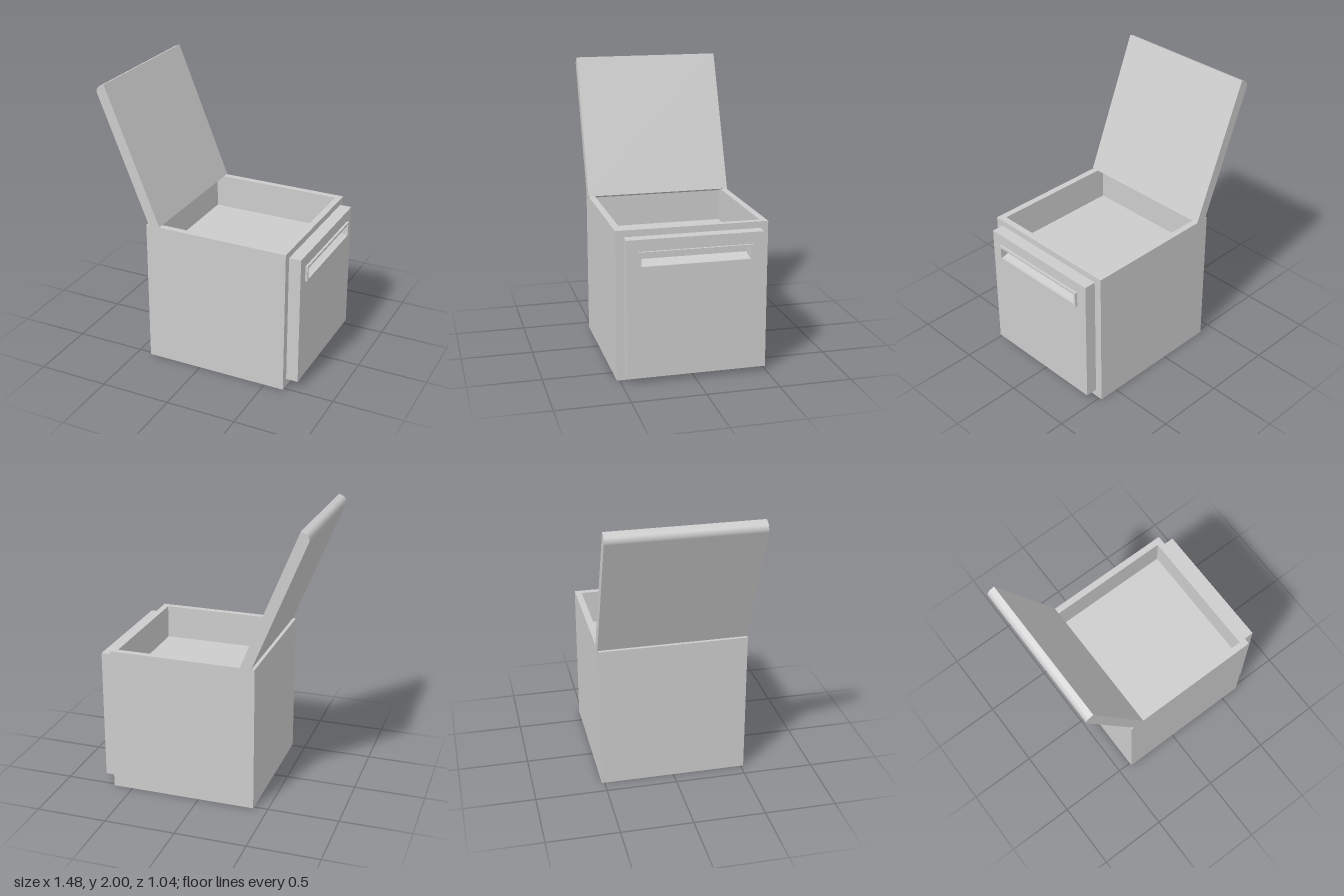
import * as THREE from 'three';

const grey = () => new THREE.MeshStandardMaterial({ color: 0xcccccc });

function add(group, name, geometry) {
  const mesh = new THREE.Mesh(geometry, grey());
  mesh.name = name;
  group.add(mesh);
  return mesh;
}

// Traces a rectangle on a Shape or Path
function rect(path, x0, y0, x1, y1) {
  path.moveTo(x0, y0);
  path.lineTo(x1, y0);
  path.lineTo(x1, y1);
  path.lineTo(x0, y1);
  path.closePath();
  return path;
}

// Rectangular plate with a rectangular opening, extruded along +z
function frame(outer, inner, depth) {
  const shape = rect(new THREE.Shape(), ...outer);
  shape.holes.push(rect(new THREE.Path(), ...inner));
  return new THREE.ExtrudeGeometry(shape, { depth, bevelEnabled: false });
}

export function createModel() {
  const model = new THREE.Group();
  model.name = 'openChest';

  const left = -0.4, right = 0.64, height = 1.035, half = 0.52;
  const wall = 0.046, floorY = 0.79;

  // Four walls, open at the top
  const walls = frame(
    [left, -half, right, half],
    [left + wall, -half + wall, right - wall, half - wall], height);
  walls.rotateX(-Math.PI / 2);
  add(model, 'walls', walls);

  // Solid base that closes the underside and forms the tray floor
  const base = new THREE.BoxGeometry(right - left - 2 * wall, floorY, 2 * (half - wall));
  base.translate((left + right) / 2, floorY / 2, 0);
  add(model, 'trayFloor', base);

  // Door panel with a slot for the fingers
  const slot = [-0.37, 0.812, 0.37, 0.895];
  const panel = frame([-0.465, 0.055, 0.465, 0.99], slot, 0.085);
  panel.rotateY(Math.PI / 2);
  panel.translate(right, 0, 0);
  add(model, 'doorPanel', panel);

  // Raised rim around the slot
  const rim = frame([-0.385, 0.8, 0.385, 0.91], slot, 0.017);
  rim.rotateY(Math.PI / 2);
  rim.translate(right + 0.085, 0, 0);
  add(model, 'handleRim', rim);

  // Sloping floor inside the slot
  const wedge = new THREE.Shape([[0.64, 0.812], [0.725, 0.812], [0.64, 0.835]]
    .map(([x, y]) => new THREE.Vector2(x, y)));
  const slope = new THREE.ExtrudeGeometry(wedge, { depth: 0.74, bevelEnabled: false });
  slope.translate(0, 0, -0.37);
  add(model, 'handleSlope', slope);

  // Open lid: local x runs through its thickness, y along its length
  const thick = 0.075, length = 1.036, r = 0.045;
  const profile = new THREE.Shape();
  profile.moveTo(-thick, 0);
  profile.lineTo(0, 0);
  profile.lineTo(0, length);
  profile.lineTo(-thick + r, length);
  profile.absarc(-thick + r, length - r, r, Math.PI / 2, Math.PI, false);
  profile.closePath();
  const lidGeometry = new THREE.ExtrudeGeometry(profile,
    { depth: 1.045, bevelEnabled: false, curveSegments: 16 });
  lidGeometry.translate(0, 0, -0.5225);
  const lid = add(model, 'lid', lidGeometry);
  lid.position.set(-0.297, 1.038, 0);
  lid.rotation.z = Math.atan2(0.39, 0.96);

  return model;
}
